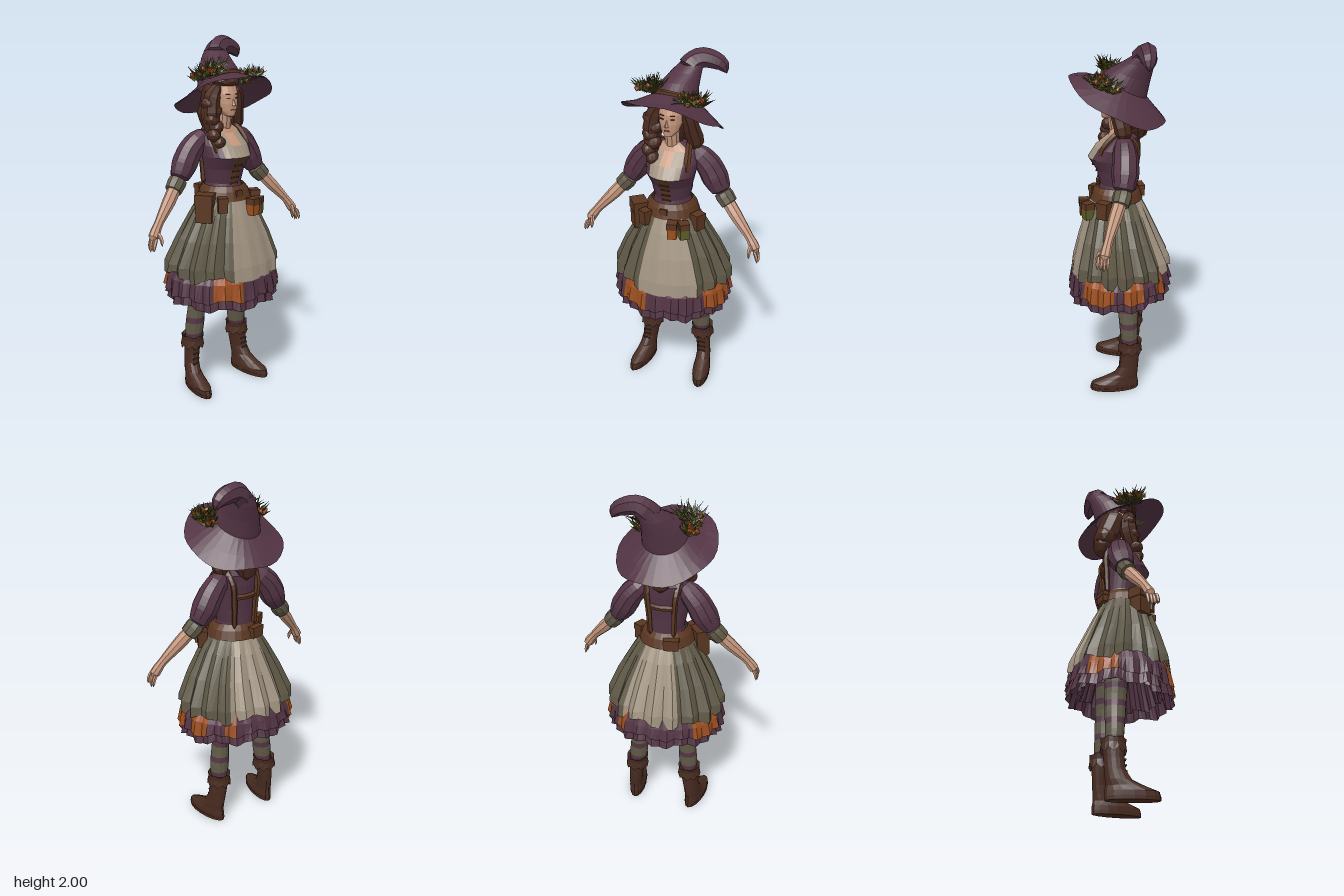
import * as THREE from 'three';
import { mergeGeometries } from 'three/addons/utils/BufferGeometryUtils.js';

const mat = (name, color) => {
  const m = new THREE.MeshStandardMaterial({ color, side: THREE.DoubleSide });
  m.name = name;
  return m;
};

export function createModel() {
  const root = new THREE.Group();
  root.name = 'witchFigure';
  const purple = mat('plumCloth', 0x533444), olive = mat('oliveCloth', 0x5e5846);
  const cream = mat('linen', 0xa09280), skin = mat('skin', 0xc4967c);
  const leather = mat('leather', 0x5a3620), hair = mat('auburnHair', 0x4a2a1e);
  const boot = mat('bootLeather', 0x472b20), orange = mat('rustCloth', 0x9c4e1d);
  const leaf = mat('leaf', 0x5d5c26), dark = mat('darkLeaf', 0x3a3a1c);

  let seed = 7;
  const rnd = () => (seed = (seed * 16807) % 2147483647) / 2147483647;
  const V = (p) => new THREE.Vector3(...p);

  // Faceted normals for every part
  const facet = (g) => {
    const f = g.index ? g.toNonIndexed() : g;
    f.deleteAttribute('uv');
    f.computeVertexNormals();
    return f;
  };
  const add = (name, geo, m, parent = root) => {
    const mesh = new THREE.Mesh(facet(geo), m);
    mesh.name = name;
    parent.add(mesh);
  };

  // Stacked ellipses, bottom to top: [y, rx, rz, cx, cz, tilt]
  function loft(rings, seg, pick = () => 0, warp = () => {}) {
    const pos = [], byMat = [];
    rings.forEach(([y, rx, rz, cx = 0, cz = 0, tilt = 0], j) => {
      for (let i = 0; i < seg; i++) {
        const a = (i / seg) * Math.PI * 2;
        const v = new THREE.Vector3(cx + rx * Math.sin(a), y + tilt * Math.cos(a), cz + rz * Math.cos(a));
        warp(v, j, a, i);
        pos.push(v.x, v.y, v.z);
      }
    });
    for (let j = 0; j < rings.length - 1; j++) for (let i = 0; i < seg; i++) {
      let mid = ((i + 0.5) / seg) * Math.PI * 2;
      if (mid > Math.PI) mid -= Math.PI * 2;
      const n = (i + 1) % seg, a = j * seg + i, b = j * seg + n;
      (byMat[pick(j, mid)] ??= []).push(a, b, b + seg, a, b + seg, a + seg);
    }
    const g = new THREE.BufferGeometry();
    g.setAttribute('position', new THREE.Float32BufferAttribute(pos, 3));
    const index = [];
    byMat.forEach((list, k) => { g.addGroup(index.length, list.length, k); index.push(...list); });
    g.setIndex(index);
    return g;
  }

  // Tube of changing radius through points: [x, y, z, radius]
  function sweep(pts, n = 12, seg = 8) {
    const curve = new THREE.CatmullRomCurve3(pts.map((p) => V(p.slice(0, 3))));
    const g = new THREE.TubeGeometry(curve, n, 1, seg), P = g.attributes.position, v = new THREE.Vector3();
    for (let j = 0; j <= n; j++) {
      const c = curve.getPointAt(j / n), t = curve.getUtoTmapping(j / n) * (pts.length - 1);
      const k = Math.min(Math.floor(t), pts.length - 2);
      const r = j % n ? THREE.MathUtils.lerp(pts[k][3], pts[k + 1][3], t - k) : 0.001;
      for (let i = 0; i <= seg; i++) {
        const id = j * (seg + 1) + i;
        v.fromBufferAttribute(P, id).sub(c).multiplyScalar(r).add(c);
        P.setXYZ(id, v.x, v.y, v.z);
      }
    }
    return g;
  }
  const flip = (pts, s) => pts.map(([x, ...rest]) => [x * s, ...rest]);
  const within = (a, ranges) => ranges.some(([lo, hi]) => a > lo && a < hi);
  const ball = (x, y, z, rx, ry, rz) => new THREE.IcosahedronGeometry(1, 1).scale(rx, ry, rz).translate(x, y, z);
  const box = (w, h, d, x, y, z, ry = 0) => new THREE.BoxGeometry(w, h, d).rotateY(ry).translate(x, y, z);

  // Bodice with laced panel, blouse and neckline
  add('bodice', loft([[1.14, .115, .11, 0, .02], [1.22, .1, .1, 0, .01], [1.3, .115, .11, 0, .02], [1.37, .135, .135, 0, .04],
    [1.43, .142, .118, 0, .018], [1.49, .13, .082, 0, -.018], [1.535, .05, .045, 0, 0]], 28, (j, a) => {
    const f = Math.abs(a);
    if (j < 3) return j > 0 && f < .3 ? 1 : 0;
    if (j === 3) return f < .6 ? 2 : 0;
    if (j === 4) return f < .25 ? 3 : f < .65 ? 2 : 0;
    return f < 1 ? 3 : 0;
  }), [purple, leather, cream, skin]);
  [.111, .12, .128, .148].forEach((z, k) => add('bodiceLace', box(.05, .007, .008, 0, 1.22 + k * .035, z), hair));

  // Head and face
  add('neck', sweep([[0, 1.47, .0, .045], [0, 1.55, .022, .04], [0, 1.65, .03, .042]], 6, 10), skin);
  add('head', loft([[1.578, .004, .004, 0, .075], [1.585, .025, .025, 0, .072], [1.61, .048, .05, 0, .05], [1.65, .063, .07, 0, .033],
    [1.7, .069, .075, 0, .025], [1.76, .064, .07, 0, .01], [1.8, .03, .03, 0, 0]], 16), skin);
  add('nose', new THREE.ConeGeometry(.012, .04, 4).rotateX(-.2).translate(0, 1.66, .105), skin);
  add('lips', box(.026, .007, .008, 0, 1.618, .1), orange);
  for (const s of [1, -1]) {
    add('eye', box(.02, .006, .009, s * .028, 1.68, .093, s * .4), hair);
    add('eyebrow', box(.024, .004, .009, s * .029, 1.7, .093, s * .4), hair);
  }

  // Hair, bun, side lock and braid
  add('hairBack', sweep([[0, 1.78, -.02, .06], [0, 1.7, -.035, .088], [0, 1.6, -.075, .08], [0, 1.52, -.1, .06], [0, 1.46, -.1, .02]], 10, 10), hair);
  add('hairBun', ball(0, 1.585, -.085, .09, .075, .075), hair);
  add('fringe', ball(0, 1.765, .03, .082, .036, .075), hair);
  add('sideLock', sweep([[.06, 1.75, .04, .02], [.088, 1.68, .02, .038], [.1, 1.6, -.005, .046], [.115, 1.53, -.025, .046], [.1, 1.47, -.025, .02]], 10, 7), hair);
  add('braidRoot', sweep([[-.05, 1.76, .05, .02], [-.09, 1.69, .035, .045], [-.105, 1.6, .035, .055], [-.1, 1.5, .06, .04], [-.095, 1.44, .085, .02]], 12, 7), hair);
  for (let k = 0; k < 6; k++) {
    const lump = ball(0, 0, 0, .052 - k * .003, .036, .042).rotateZ(k % 2 ? .6 : -.6);
    add('braid', lump.translate(-.112 + (k % 2) * .026, 1.645 - k * .039, .035 + k * .01), hair);
  }

  // Hat brim, crown and curled tip
  add('hat', loft([[1.665, .267, .258, 0, .012, .12], [1.705, .2, .2, 0, 0, .09], [1.755, .12, .12, 0, -.022, .06],
    [1.82, .1, .102, .012, -.058, .035], [1.88, .078, .08, .035, -.1, .01], [1.92, .062, .06, .055, -.125, 0]], 32, () => 0, (v, j, a) => {
    if (j < 2) v.y += (j ? .4 : 1) * (-.028 * Math.sin(a) + .022 * Math.cos(a) ** 2 + .008 * Math.sin(5 * a));
  }), purple);
  add('hatTip', sweep([[.04, 1.88, -.105, .07], [.065, 1.92, -.13, .06], [.105, 1.945, -.14, .053], [.165, 1.937, -.15, .047],
    [.208, 1.915, -.155, .038], [.234, 1.872, -.155, .01]], 12, 7), purple);
  add('hatCord', sweep([[-.11, 1.785, .03, .014], [-.06, 1.815, .075, .014], [0, 1.82, .09, .014], [.06, 1.81, .08, .014], [.11, 1.785, .04, .014]], 14, 6), leather);

  // Leafy bouquets on the brim, blossoms at the heart: [name, x, y, z, upward lean, size]
  for (const [name, x, y, z, lean, size] of [['rightBouquet', -.112, 1.79, .035, .5, 1.35], ['leftBouquet', .128, 1.765, .075, .2, 1.1]]) {
    const sets = new Map([[leaf, []], [dark, []], [orange, []]]);
    for (let k = 0; k < 150; k++) {
      const dir = V([rnd() * 2 - 1, rnd() * .9 + lean, rnd() * 2 - 1]).normalize();
      const len = (.035 + rnd() * .05) * size, m = k % 8 < 4 ? leaf : k % 8 < 7 ? dark : orange;
      const g = m === orange ? new THREE.OctahedronGeometry(.018).translate(0, .04, 0)
        : new THREE.ConeGeometry(.01, len, 3).translate(0, len / 2 + .01, 0);
      g.applyQuaternion(new THREE.Quaternion().setFromUnitVectors(V([0, 1, 0]), dir));
      const dz = (rnd() - .5) * .12;
      sets.get(m).push(facet(g.translate(x + (rnd() - .5) * .08, y + dz * .4, z + dz)));
    }
    for (const [m, list] of sets) add(name, mergeGeometries(list), m);
  }

  // Pleated overskirt with linen panels front and back
  add('overskirt', loft([[.722, .328, .278, 0, 0], [.78, .325, .268, 0, 0], [.92, .268, .22, 0, .012], [1.05, .198, .172, 0, .02],
    [1.13, .15, .138, 0, .025], [1.19, .115, .11, 0, .02]], 72,
  (j, a) => (within(a, [[-.36, .66]]) || a > 2.5 || a < -2.7 ? 1 : 0), (v, j, a) => {
    const flat = Math.abs(a - .15) < .51 || a > 5.92 ? .2 : 1;
    const k = 1 + flat * [.05, .055, .045, .035, .02, 0][j] * Math.cos(18 * a);
    v.x *= k; v.z *= k;
    if (j === 0) v.y += flat < 1 ? -.018 : .02 * Math.sin(7 * a);
  }), [olive, cream]);

  // Ruffled underskirt tiers with rust patches
  const frill = (amp) => (v, j, a) => {
    const k = 1 + amp * Math.cos(24 * a + j * .4) * (j ? .5 : 1);
    v.x *= k; v.z *= k;
    v.y += j ? 0 : .012 * Math.sin(9 * a) - .02 * Math.cos(a);
  };
  add('lowerRuffle', loft([[.57, .328, .287], [.66, .312, .267], [.76, .27, .23]], 96, () => 0, frill(.035)), purple);
  add('upperRuffle', loft([[.62, .342, .292], [.7, .328, .278], [.77, .29, .25]], 96, (j, a) =>
    (within(a, [[-.72, -.22], [.85, 1.52], [1.72, 2.1], [2.4, 2.6], [-2.4, -1.85]]) ? 1 : 0), frill(.03)), [purple, orange]);
  add('petticoat', loft([[.6, .25, .22], [.75, .21, .18], [.95, .15, .13]], 72, () => 0, frill(.06)), purple);

  // Belt, pouches and vials
  add('belt', loft([[1.13, .155, .146, 0, .02], [1.18, .138, .13, 0, .02], [1.21, .112, .112, 0, .02]], 24), leather);
  add('beltBuckle', box(.04, .035, .01, 0, 1.17, .155), leather);
  const pouch = (name, x, y, z, w, h, d, ry, m) => {
    const p = new THREE.Group();
    p.name = name;
    add('pouchBody', box(w, h, d, 0, 0, 0), m, p);
    add('pouchFlap', box(w * 1.1, h * .4, d * 1.12, 0, h * .33, 0), leather, p);
    p.position.set(x, y, z);
    p.rotation.y = ry;
    root.add(p);
  };
  pouch('largePouch', -.175, 1.1, .08, .09, .15, .075, -.9, leather);
  pouch('smallPouch', -.11, 1.12, .15, .05, .08, .045, -.5, leather);
  pouch('frontPouch', .065, 1.095, .195, .05, .09, .05, .2, orange);
  pouch('vialPouch', .122, 1.09, .17, .05, .09, .05, .6, leaf);
  pouch('sidePouch', .17, 1.11, .08, .06, .09, .05, 1.1, leather);
  pouch('backPouch', -.06, 1.16, -.11, .08, .06, .035, 3.4, leather);

  for (const s of [1, -1]) {
    const side = s > 0 ? 'left' : 'right';
    // Harness straps
    add(side + 'Strap', sweep(flip([[.105, 1.38, .1, .014], [.105, 1.45, .075, .018], [.088, 1.52, -.01, .018],
      [.08, 1.45, -.09, .016], [.07, 1.33, -.09, .016], [.065, 1.19, -.082, .014]], s), 24, 5), leather);

    // Puffed sleeve, cuff, forearm and hand
    add(side + 'Sleeve', sweep(flip([[.09, 1.5, -.02, .03], [.14, 1.45, -.03, .062], [.185, 1.4, -.037, .07], [.225, 1.33, -.037, .074],
      [.26, 1.27, -.03, .056], [.275, 1.245, -.025, .04]], s), 14, 10), purple);
    add(side + 'Cuff', sweep(flip([[.262, 1.265, -.03, .045], [.285, 1.235, -.025, .052], [.325, 1.19, -.012, .046]], s), 7, 9), olive);
    add(side + 'Forearm', sweep(flip([[.29, 1.23, -.022, .036], [.36, 1.15, .007, .036], [.45, 1.05, .04, .023], [.485, 1.0, .052, .03],
      [.505, .965, .06, .024]], s), 12, 8), skin);
    for (let k = 0; k < 4; k++) {
      const z = .036 + k * .017, x = .497 + .004 * (k % 2);
      add(side + 'Finger', sweep(flip([[x - .01, .995, z, .01], [x + .008, .955, z + .004, .01], [x + .013, .912 + .006 * Math.abs(k - 1), z + .006, .006]], s), 5, 5), skin);
    }
    add(side + 'Thumb', sweep(flip([[.475, 1.02, .06, .012], [.466, .985, .09, .011], [.468, .945, .1, .006]], s), 5, 5), skin);

    // Striped stocking
    const leg = [];
    for (let k = 0; k <= 14; k++) {
      const t = k / 14;
      leg.push([.26 + t * .46, .043 + .02 * t + .008 * Math.sin(t * 8), .046 + .022 * t, s * (.163 - .04 * t), -.062 + .02 * t]);
    }
    add(side + 'Stocking', loft(leg, 12, (j) => (j % 3 === 1 ? 1 : 0)), [olive, purple]);

    // Boot with sole, laces and turned cuff
    const toeOut = (v) => { v.x += s * .14 * (v.z + .05); };
    const x = s * .182;
    add(side + 'Sole', loft([[0, .001, .001, x, .025], [0, .05, .138, x, .025], [.02, .052, .14, x, .025], [.02, .001, .001, x, .025]], 16, undefined, toeOut), hair);
    add(side + 'Boot', loft([[.018, .05, .14, x, .025], [.045, .051, .135, x, .022], [.07, .045, .1, x, -.008], [.1, .043, .068, x, -.042],
      [.15, .042, .054, s * .178, -.06], [.21, .045, .053, s * .172, -.065], [.28, .05, .056, s * .167, -.066]], 16, undefined, toeOut), boot);
    for (let k = 0; k < 4; k++) add(side + 'Lace', box(.04, .007, .008, s * (.183 - k * .003), .145 + k * .03, -.006 - k * .002), hair);
    add(side + 'BootCuff', loft([[.255, .068, .07, s * .165, -.066], [.285, .061, .064, s * .165, -.066], [.31, .064, .067, s * .163, -.066],
      [.3, .045, .048, s * .163, -.066]], 18, undefined, (v, j, a, i) => { if (j === 0 && i % 2) v.y -= .02; if (j === 2 && i % 3 === 0) v.y += .008; }), boot);
  }
  add('harnessBar', sweep([[-.085, 1.37, -.08, .015], [0, 1.37, -.1, .015], [.085, 1.37, -.08, .015]], 8, 5), leather);
  return root;
}
